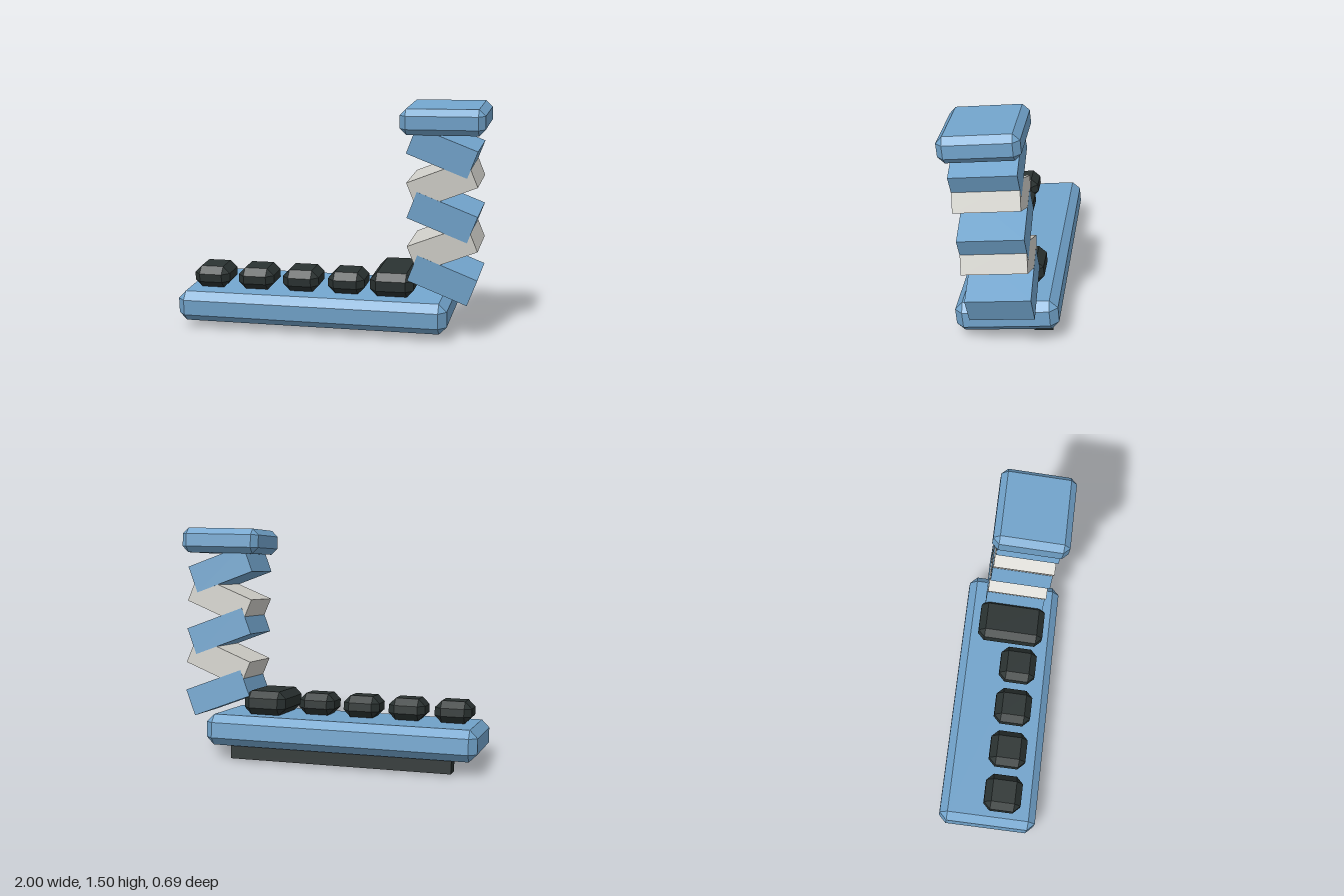
import * as THREE from 'three';
import { ConvexGeometry } from 'three/addons/geometries/ConvexGeometry.js';

const blue = new THREE.MeshStandardMaterial({ color: 0x72a4cc });
blue.name = 'blue';
const offWhite = new THREE.MeshStandardMaterial({ color: 0xd0cfc9 });
offWhite.name = 'offWhite';
const charcoal = new THREE.MeshStandardMaterial({ color: 0x2a3231 });
charcoal.name = 'charcoal';

// Box with every edge and corner cut by one flat chamfer
function chamferBox(w, h, d, b) {
  const half = [w / 2, h / 2, d / 2];
  const points = [];
  for (const sx of [-1, 1]) for (const sy of [-1, 1]) for (const sz of [-1, 1]) {
    for (let axis = 0; axis < 3; axis++) {
      const p = half.map((v, i) => (i === axis ? v : v - b));
      points.push(new THREE.Vector3(sx * p[0], sy * p[1], sz * p[2]));
    }
  }
  return new ConvexGeometry(points);
}

export function createModel() {
  const model = new THREE.Group();
  model.name = 'keyboardWithSpring';

  // Everything leans forward together
  const tilted = new THREE.Group();
  tilted.name = 'tiltedBody';
  tilted.position.set(0, 0.17, -0.02);
  tilted.rotation.x = 0.1;
  model.add(tilted);

  function add(name, geometry, material, x, y, z) {
    const mesh = new THREE.Mesh(geometry, material);
    mesh.name = name;
    mesh.position.set(x, y, z);
    tilted.add(mesh);
    return mesh;
  }

  // Base slab and the foot bar under its back edge
  add('base', chamferBox(1.775, 0.2, 0.643, 0.05), blue, -0.1125, 0, 0);
  add('footBar', new THREE.BoxGeometry(1.45, 0.09, 0.12), charcoal, -0.115, -0.14, -0.2);

  // Row of small keys and one large key
  const keyGeometry = chamferBox(0.24, 0.142, 0.245, 0.045);
  for (let i = 0; i < 4; i++) {
    add('smallKey' + (i + 1), keyGeometry, charcoal, -0.8 + i * 0.3025, 0.171, 0.078);
  }
  add('largeKey', chamferBox(0.28, 0.155, 0.445, 0.045), charcoal, 0.41, 0.18, 0);

  // Zigzag spring of blocks tilted alternately
  for (let i = 0; i < 5; i++) {
    const even = i % 2 === 0;
    const block = add('springBlock' + (i + 1),
      new THREE.BoxGeometry(0.405, 0.18, even ? 0.4 : 0.399),
      even ? blue : offWhite, 0.734, 0.231 + i * 0.2035, 0);
    block.rotation.z = (even ? -1 : 1) * 0.375;
  }

  // Cap on top of the spring
  add('springCap', chamferBox(0.525, 0.162, 0.478, 0.04), blue, 0.7375, 1.231, 0);

  return model;
}
